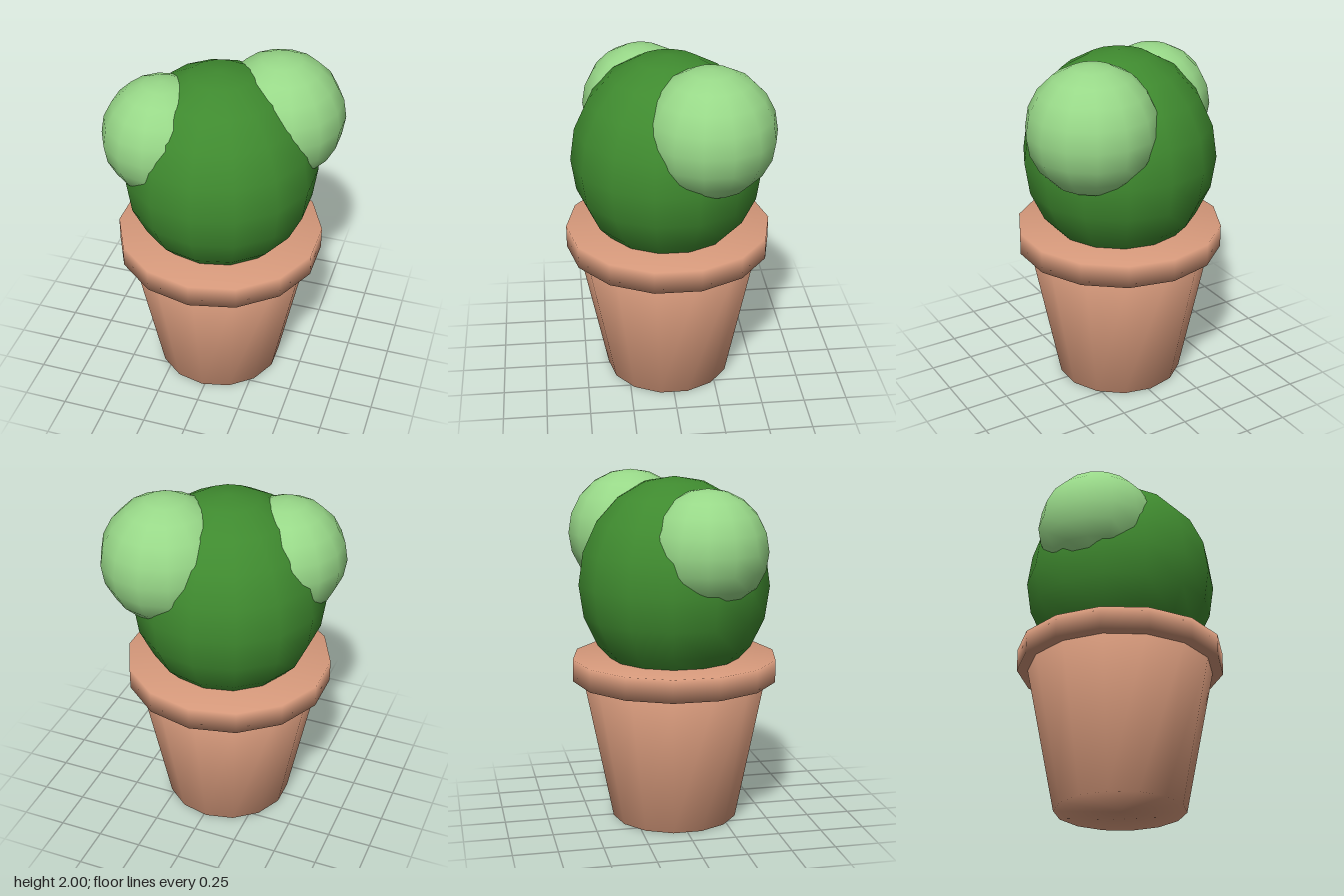
import * as THREE from 'three';
import { mergeVertices } from 'three/addons/utils/BufferGeometryUtils.js';

const SIDES = 14;
const CENTRE_X = -0.015;

function material(name, color) {
  const m = new THREE.MeshStandardMaterial({ color });
  m.name = name;
  return m;
}

// Weld caps to walls so the shading rolls softly over the edges
function softened(geometry) {
  geometry.deleteAttribute('uv');
  geometry.deleteAttribute('normal');
  const welded = mergeVertices(geometry, 1e-4);
  welded.computeVertexNormals();
  return welded;
}

export function createModel() {
  const group = new THREE.Group();
  group.name = 'pottedCactus';

  const terracotta = material('terracotta', 0xd6997b);
  const darkGreen = material('darkGreen', 0x3f8a2f);
  const lightGreen = material('lightGreen', 0x98d888);

  const add = (name, geometry, mat, x, y, z) => {
    const mesh = new THREE.Mesh(geometry, mat);
    mesh.name = name;
    mesh.position.set(x, y, z);
    group.add(mesh);
    return mesh;
  };

  // Tapered pot section: a 14-sided drum from y0 to y1
  const drum = (name, rTop, rBottom, y0, y1) =>
    add(name, softened(new THREE.CylinderGeometry(rTop, rBottom, y1 - y0, SIDES)),
      terracotta, CENTRE_X, (y0 + y1) / 2, 0);

  // Round cactus lobe with a corner facing the front
  const lobe = (name, mat, r, ry, x, y, z) => {
    const geometry = new THREE.SphereGeometry(1, SIDES, 10);
    geometry.rotateY(Math.PI / 2);
    geometry.scale(r, ry, r);
    add(name, geometry, mat, x, y, z);
  };

  // Pot
  drum('potBody', 0.53, 0.365, 0, 0.83);
  drum('potRim', 0.59, 0.59, 0.825, 0.955);

  // Cactus and its two offshoots
  lobe('cactusBody', darkGreen, 0.55, 0.6, CENTRE_X, 1.38, 0);
  lobe('leftOffshoot', lightGreen, 0.365, 0.36, 0.27, 1.64, -0.2);
  lobe('rightOffshoot', lightGreen, 0.34, 0.335, -0.3, 1.6, 0.125);

  return group;
}
